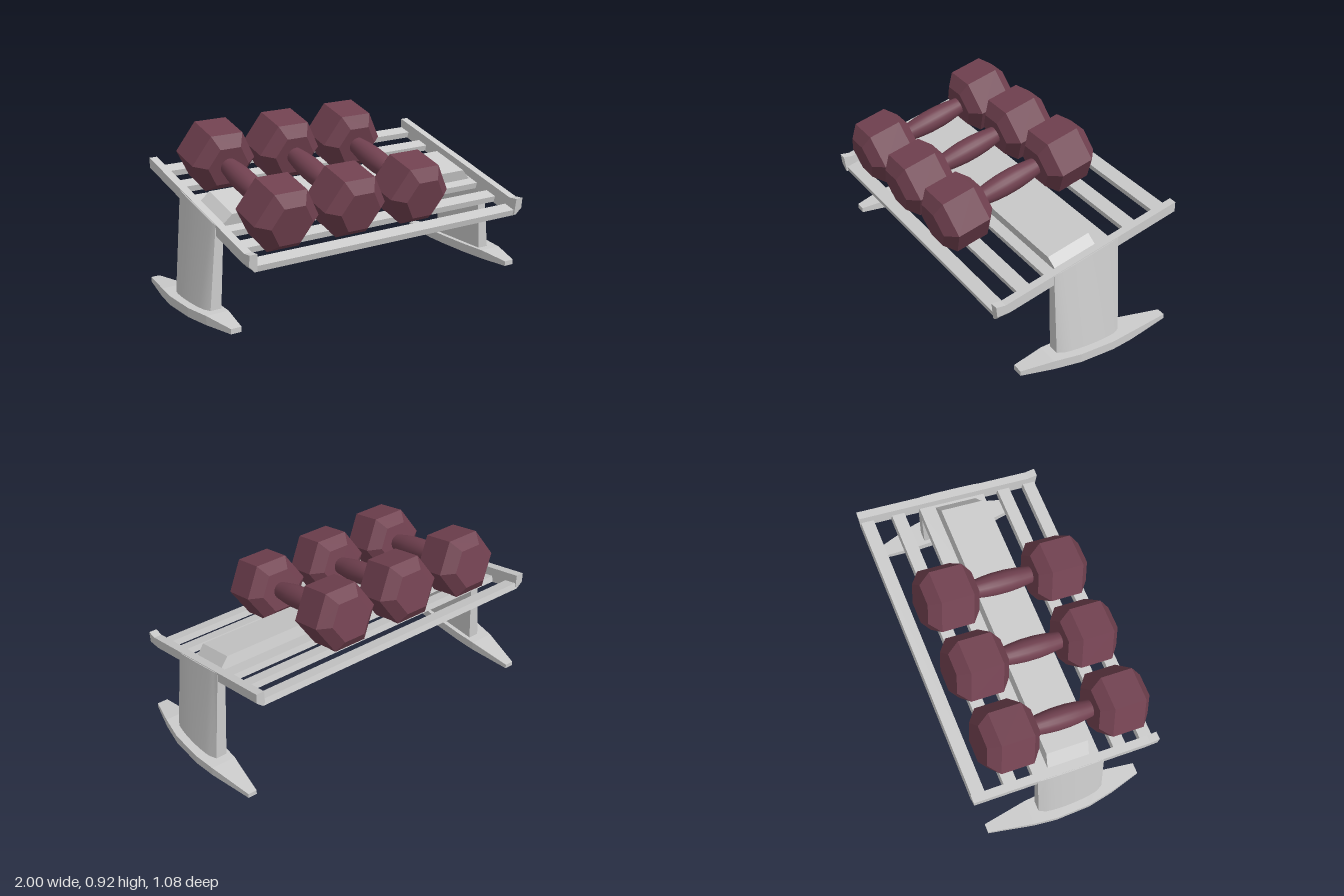
import * as THREE from 'three';
import { toCreasedNormals } from 'three/addons/utils/BufferGeometryUtils.js';

const TILT = 0.255;
const grey = new THREE.MeshStandardMaterial({ color: 0xcccccc, flatShading: true });
const greySmooth = new THREE.MeshStandardMaterial({ color: 0xcccccc });
const maroon = new THREE.MeshStandardMaterial({ color: 0x70404f, flatShading: true });
const maroonSmooth = new THREE.MeshStandardMaterial({ color: 0x70404f });

// Closed solid through convex rings of equal point count, turned outward by its signed volume
function loft(rings) {
  const tris = [];
  const n = rings[0].length;
  for (let r = 0; r < rings.length - 1; r++) {
    for (let i = 0; i < n; i++) {
      const j = (i + 1) % n;
      const [a, b, c, d] = [rings[r][i], rings[r][j], rings[r + 1][j], rings[r + 1][i]];
      tris.push([a, b, c], [a, c, d]);
    }
  }
  const first = rings[0], last = rings[rings.length - 1];
  for (let i = 1; i < n - 1; i++) {
    tris.push([first[0], first[i + 1], first[i]], [last[0], last[i], last[i + 1]]);
  }
  let volume = 0;
  for (const t of tris) {
    const [a, b, c] = t.map((p) => new THREE.Vector3(...p));
    volume += a.dot(b.cross(c));
  }
  if (volume < 0) tris.forEach((t) => t.reverse());
  const geo = new THREE.BufferGeometry();
  geo.setAttribute('position', new THREE.Float32BufferAttribute(tris.flat(2), 3));
  geo.computeVertexNormals();
  return geo;
}

function add(parent, name, geo, mat, x = 0, y = 0, z = 0) {
  const mesh = new THREE.Mesh(geo, mat);
  mesh.name = name;
  mesh.position.set(x, y, z);
  parent.add(mesh);
  return mesh;
}

// Side rail with a bevelled lower outer edge and a front end that levels out
function railGeometry(s) {
  const stations = [ // [z, y] of bottom, bevel and top
    [[0.525, 0.34], [0.53, 0.375], [0.537, 0.435]],
    [[0.445, 0.345], [0.45, 0.38], [0.482, 0.43]],
    [[-0.535, 0.605], [-0.535, 0.637], [-0.535, 0.692]],
  ];
  return loft(stations.map(([b, m, t]) => [
    [s * 0.832, b[1], b[0]], [s * 0.845, b[1], b[0]],
    [s * 0.88, m[1], m[0]], [s * 0.88, t[1], t[0]], [s * 0.835, t[1], t[0]],
  ]));
}

// Leg with a flat inside and a bowed outside, leaning in to the rail
function legGeometry(s) {
  const ring = (inner, edge, outer, yAt) => {
    const pts = [[s * inner, yAt(-0.18), -0.18]];
    for (let i = 0; i <= 10; i++) {
      const u = i / 10;
      const z = -0.18 + 0.383 * u;
      const x = edge + (outer - edge) * Math.sqrt(1 - (2 * u - 1) ** 2);
      pts.push([s * x, yAt(z), z]);
    }
    pts.push([s * inner, yAt(0.203), 0.203]);
    return pts;
  };
  return toCreasedNormals(loft([
    ring(0.862, 0.925, 0.957, () => 0.04),
    ring(0.835, 0.881, 0.886, (z) => 0.551 - 0.256 * z),
  ]), 0.6);
}

// Boat-shaped foot, bowed outward and thinner at both ends
function footGeometry(s) {
  const stations = [ // z, inner x, outer x, height
    [-0.485, 0.875, 0.925, 0.026], [-0.23, 0.842, 0.982, 0.05],
    [-0.1, 0.836, 1, 0.05], [0.1, 0.836, 1, 0.05],
    [0.25, 0.845, 0.975, 0.05], [0.425, 0.87, 0.93, 0.028],
  ];
  return loft(stations.map(([z, a, b, h]) => [
    [s * a, 0, z], [s * b, 0, z], [s * b, h, z], [s * a, h, z],
  ]));
}

function createRack() {
  const rack = new THREE.Group();
  rack.name = 'rack';
  for (const s of [1, -1]) {
    const side = s > 0 ? 'left' : 'right';
    add(rack, side + 'Rail', railGeometry(s), grey);
    add(rack, side + 'Leg', legGeometry(s), greySmooth);
    add(rack, side + 'Foot', footGeometry(s), grey);
  }

  // Tilted deck: four slats around a central tray
  const deck = new THREE.Group();
  deck.name = 'deck';
  deck.position.y = 0.467;
  deck.rotation.x = TILT;
  rack.add(deck);
  for (const z of [-0.518, -0.333, 0.326, 0.491]) {
    add(deck, 'slat', new THREE.BoxGeometry(1.68, 0.035, 0.075), grey, 0, 0.0175, z);
  }
  add(deck, 'tray', new THREE.BoxGeometry(1.68, 0.036, 0.4), grey, 0, 0.018, -0.002);

  // Raised centre panel with sloping ends
  const panel = (x, h) => [[-x, h, -0.11], [x, h, -0.11], [x, h, 0.14], [-x, h, 0.14]];
  add(deck, 'raisedPanel', loft([panel(0.82, 0.034), panel(0.76, 0.1)]), grey);
  return rack;
}

function createDumbbell() {
  const bell = new THREE.Group();
  bell.name = 'dumbbell';

  // Hexagonal heads with chamfered ends
  const headProfile = [[0, -0.15], [0.122, -0.15], [0.1875, -0.094],
    [0.1875, 0.094], [0.122, 0.15], [0, 0.15]].map((p) => new THREE.Vector2(...p));
  const head = new THREE.LatheGeometry(headProfile, 6, Math.PI / 2).rotateX(Math.PI / 2);
  add(bell, 'frontHead', head, maroon, 0, 0, 0.327);
  add(bell, 'backHead', head, maroon, 0, 0, -0.327);

  // Grip, thicker in the middle
  const gripProfile = [[0.046, -0.19], [0.058, -0.1], [0.063, -0.04],
    [0.063, 0.04], [0.058, 0.1], [0.046, 0.19]].map((p) => new THREE.Vector2(...p));
  add(bell, 'grip', new THREE.LatheGeometry(gripProfile, 20).rotateX(Math.PI / 2), maroonSmooth);
  return bell;
}

export function createModel() {
  const model = new THREE.Group();
  model.name = 'dumbbellRack';
  model.add(createRack());
  for (const x of [-0.62, -0.207, 0.207]) {
    const bell = createDumbbell();
    bell.position.set(x, 0.652, 0.054);
    bell.rotation.x = TILT;
    model.add(bell);
  }
  return model;
}
